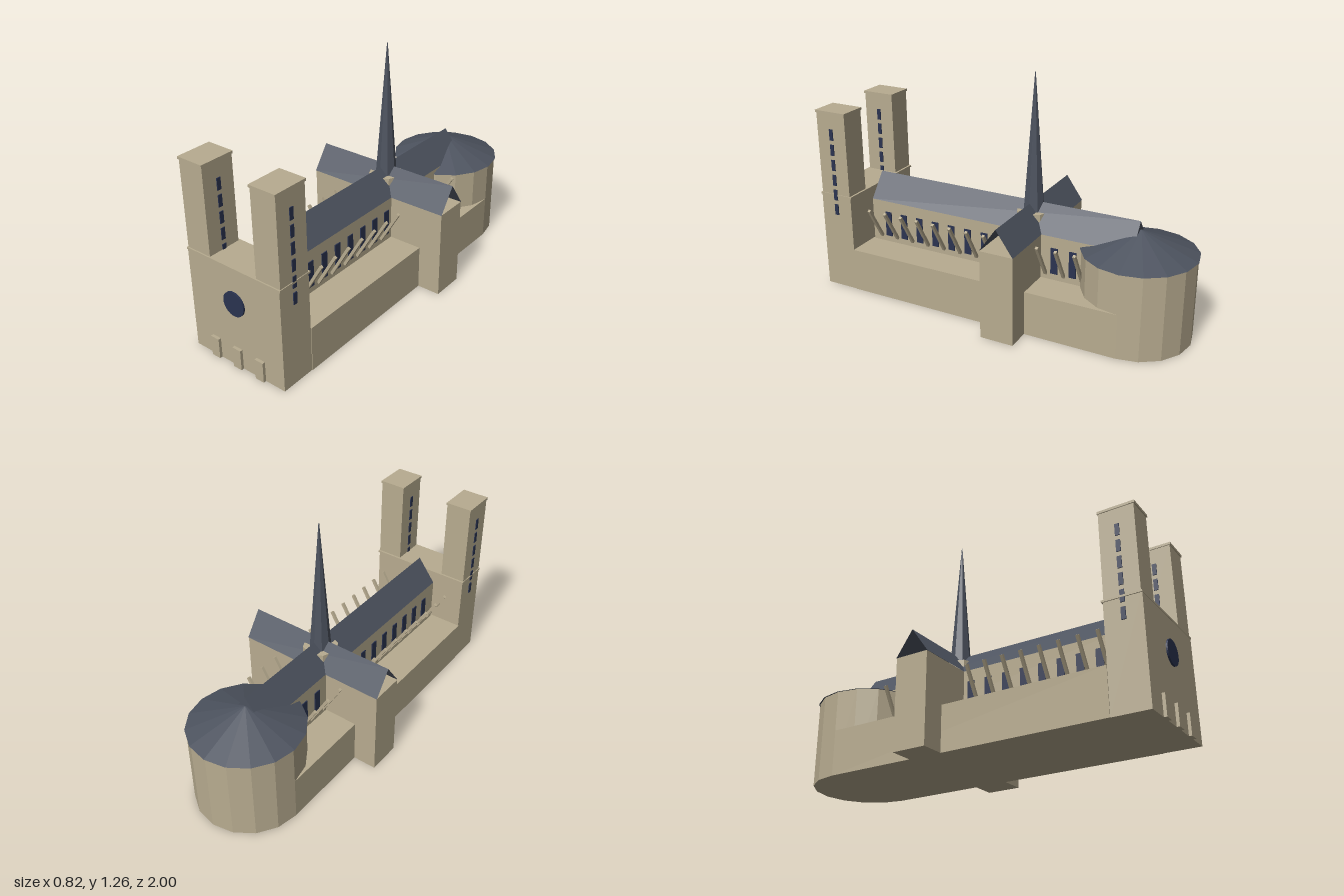
import * as THREE from 'three';

const mat = (name, color, extra = {}) => Object.assign(new THREE.MeshStandardMaterial({ color, flatShading: true, ...extra }), { name });

export function createModel() {
  const stone = mat('stone', 0xb8ac90);
  const slate = mat('slate', 0x4d535f, { side: THREE.DoubleSide });
  const glass = mat('glass', 0x2a3350);
  const model = new THREE.Group();
  model.name = 'cathedral';

  const add = (name, geo, material, x = 0, y = 0, z = 0) => {
    const m = new THREE.Mesh(geo, material);
    m.name = name;
    m.position.set(x, y, z);
    model.add(m);
    return m;
  };
  // Box given by its extents
  const block = (name, material, x0, x1, y0, y1, z0, z1) =>
    add(name, new THREE.BoxGeometry(x1 - x0, y1 - y0, z1 - z0), material, (x0 + x1) / 2, (y0 + y1) / 2, (z0 + z1) / 2);
  const cyl = (name, material, rTop, rBottom, y0, y1, z, sides) =>
    add(name, new THREE.CylinderGeometry(rTop, rBottom, y1 - y0, sides), material, 0, (y0 + y1) / 2, z);

  // Aisles, nave and transept walls
  block('aisles', stone, -0.283, 0.283, 0, 0.235, -0.71, 0.8);
  block('naveWalls', stone, -0.1, 0.1, 0.235, 0.47, -0.705, 0.79);
  block('transept', stone, -0.408, 0.408, 0, 0.47, -0.228, -0.05);

  // Nave roof: closed gable prism
  const gable = new THREE.Shape([
    new THREE.Vector2(-0.1, 0.47), new THREE.Vector2(0.1, 0.47), new THREE.Vector2(0, 0.6),
  ]);
  add('naveRoof', new THREE.ExtrudeGeometry(gable, { depth: 1.495, bevelEnabled: false }), slate, 0, 0, -0.705);

  // Transept roof: two slopes, open at the ends
  const [w, zf, zr, zb] = [0.41, -0.048, -0.139, -0.23];
  const slopes = new THREE.BufferGeometry();
  slopes.setAttribute('position', new THREE.Float32BufferAttribute([
    -w, 0.47, zf, w, 0.47, zf, w, 0.6, zr, -w, 0.6, zr,
    w, 0.47, zb, -w, 0.47, zb, -w, 0.6, zr, w, 0.6, zr,
  ], 3));
  slopes.setIndex([0, 1, 2, 0, 2, 3, 4, 5, 6, 4, 6, 7]);
  slopes.computeVertexNormals();
  add('transeptRoof', slopes, slate);

  // Crossing spire
  cyl('spireBase', stone, 0.09, 0.09, 0.47, 0.555, -0.139, 8);
  cyl('spire', slate, 0.002, 0.055, 0.55, 1.26, -0.139, 8);

  // Rounded east end
  cyl('apse', stone, 0.283, 0.283, 0, 0.445, -0.71, 16);
  cyl('apseRoof', slate, 0, 0.29, 0.445, 0.557, -0.71, 16);

  // West front
  block('facade', stone, -0.28, 0.28, 0, 0.54, 0.8, 0.985);
  block('facadeLedge', stone, -0.285, 0.285, 0.53, 0.54, 0.793, 0.987);
  const rose = add('roseWindow', new THREE.CylinderGeometry(0.063, 0.063, 0.009, 32), glass, 0, 0.352, 0.9895);
  rose.rotation.x = Math.PI / 2;
  for (const x of [-0.14, 0, 0.14]) block('door', stone, x - 0.025, x + 0.025, 0, 0.107, 0.98, 1);

  // Towers with slit windows on both sides
  for (const s of [-1, 1]) {
    const cx = s * 0.211;
    block('tower', stone, cx - 0.07, cx + 0.07, 0.54, 0.985, 0.804, 0.98);
    block('towerCap', stone, cx - 0.074, cx + 0.074, 0.982, 0.995, 0.8, 0.985);
    for (let i = 0; i < 6; i++) {
      const y = 0.453 + i * 0.0835;
      for (const x of [cx - 0.07, cx + 0.07])
        block('towerWindow', glass, x - 0.004, x + 0.004, y - 0.03, y + 0.03, 0.882, 0.904);
    }
  }

  // Clerestory windows and leaning buttress beams along both sides
  for (const s of [-1, 1]) {
    for (let i = 0; i < 13; i++) {
      const z = 0.735 - i * 0.0992;
      if (i !== 8 && i !== 9) {
        const beam = add('buttress', new THREE.BoxGeometry(0.015, 0.212, 0.015), stone, s * 0.157, 0.357, z);
        beam.rotation.z = -s * 0.53;
      }
      if (i < 12 && i !== 8 && i !== 9) {
        const zw = z - 0.046;
        block('naveWindow', glass, s * 0.101 - 0.004, s * 0.101 + 0.004, 0.27, 0.41, zw - 0.019, zw + 0.019);
      }
    }
  }
  return model;
}
